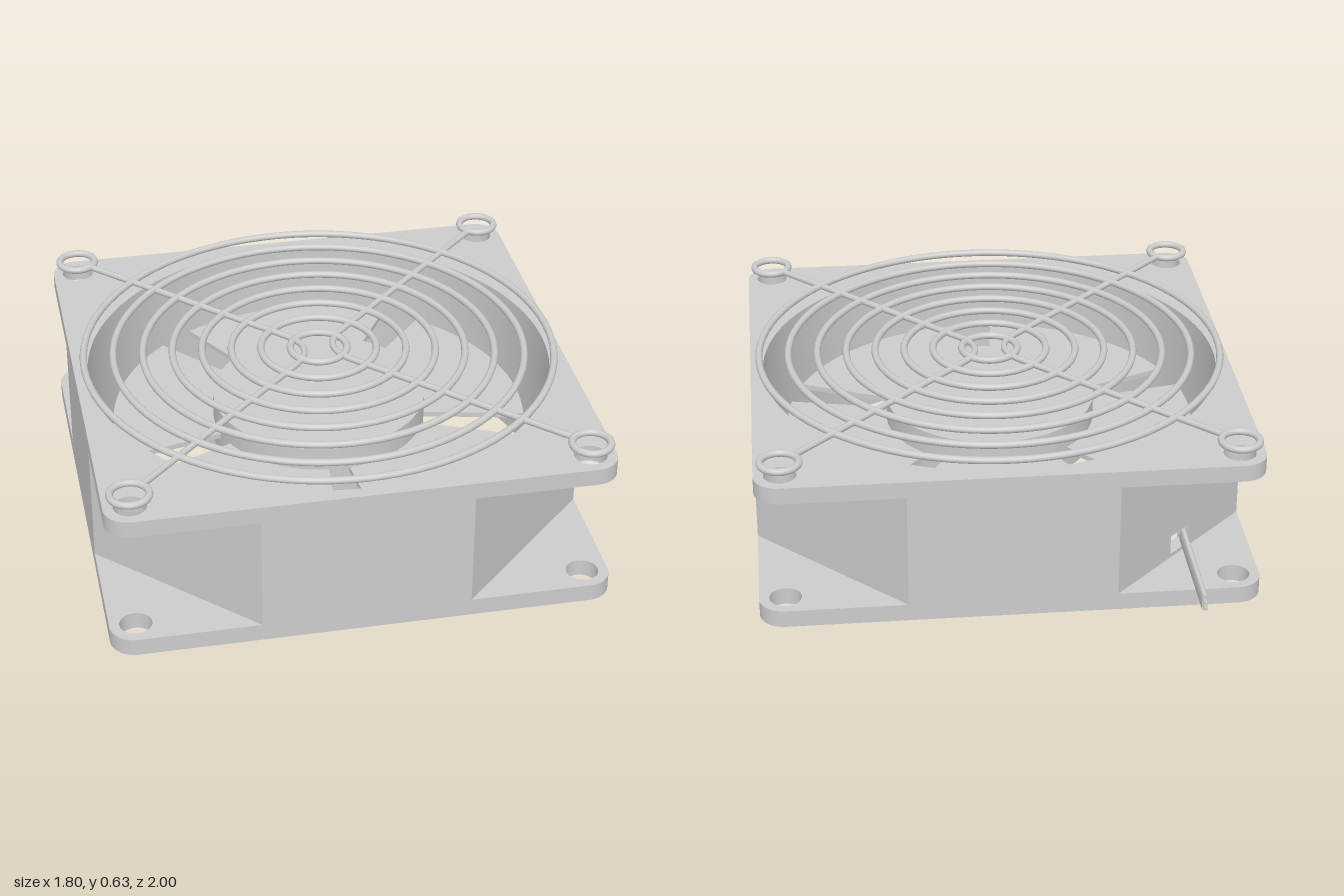
import * as THREE from 'three';
import { toCreasedNormals } from 'three/addons/utils/BufferGeometryUtils.js';

const CZ = 0.097, BORE = 0.855, HOLE = 0.808;
const TAU = Math.PI * 2;

export function createModel() {
  const root = new THREE.Group();
  const fan = new THREE.Group();
  fan.name = 'fan';
  fan.position.z = CZ;
  root.add(fan);
  const mat = new THREE.MeshStandardMaterial({ color: 0xcccccc });

  const add = (name, geo, x = 0, y = 0, z = 0, parent = fan) => {
    const mesh = new THREE.Mesh(geo, mat);
    mesh.name = name;
    mesh.position.set(x, y, z);
    parent.add(mesh);
    return mesh;
  };
  // Extrude a plan shape upwards from y0 to y1
  const slab = (name, shape, y0, y1, parent = fan, curveSegments = 48) => {
    const geo = new THREE.ExtrudeGeometry(shape, { depth: y1 - y0, bevelEnabled: false, curveSegments });
    geo.rotateX(-Math.PI / 2);
    return add(name, toCreasedNormals(geo, 0.5), 0, y0, 0, parent);
  };
  const circle = (x, y, r) => new THREE.Path().absarc(x, y, r, 0, TAU, true);
  const corners = [[1, 1], [-1, 1], [-1, -1], [1, -1]];

  // Square flanges with rounded corners and screw holes
  const flange = new THREE.Shape();
  corners.forEach(([sx, sy], i) =>
    flange.absarc(sx * 0.812, sy * 0.812, 0.09, i * Math.PI / 2, (i + 1) * Math.PI / 2, false));
  flange.closePath();
  flange.holes.push(circle(0, 0, BORE));
  corners.forEach(([sx, sy]) => flange.holes.push(circle(sx * HOLE, sy * HOLE, 0.058)));
  slab('lowerFlange', flange, 0, 0.065);
  slab('upperFlange', flange, 0.502, 0.565);

  // Duct between the flanges, with cut-off corners
  const A = 0.902, B = 0.375;
  const octagon = [[-A, B], [-A, -B], [-B, -A], [B, -A], [A, -B], [A, B], [B, A], [-B, A]];
  const duct = new THREE.Shape(octagon.map(([x, y]) => new THREE.Vector2(x, y)));
  duct.holes.push(circle(0, 0, BORE));
  slab('ductBase', duct, 0.065, 0.08);
  slab('duct', duct, 0.155, 0.502);

  // The same ring, open at one corner for the cable
  const m = (A + B) / 2, gap = TAU / 96, corner = Math.PI * 0.75;
  const openDuct = new THREE.Shape();
  openDuct.moveTo(-m - 0.04, m - 0.04);
  octagon.forEach(([x, y]) => openDuct.lineTo(x, y));
  openDuct.lineTo(-m + 0.04, m + 0.04);
  openDuct.absarc(0, 0, BORE, corner - gap, corner + gap - TAU, true);
  openDuct.closePath();
  slab('ductCableSlot', openDuct, 0.08, 0.155, fan, 47);

  // Motor housing and its diagonal struts, the cable strut being wider
  add('motorHousing', new THREE.CylinderGeometry(0.285, 0.285, 0.26, 64), 0, 0.13, 0);
  corners.forEach(([sx, sz]) => {
    const wide = sx < 0 && sz < 0;
    const geo = new THREE.BoxGeometry(0.6, 0.065, wide ? 0.085 : 0.045);
    add(wide ? 'cableStrut' : 'strut', geo, sx * 0.396, 0.0375, sz * 0.396).rotation.y = -sx * sz * Math.PI / 4;
  });

  // Rotor: hub and five flat wedge blades
  const rotor = new THREE.Group();
  rotor.name = 'rotor';
  fan.add(rotor);
  add('hub', new THREE.CylinderGeometry(0.395, 0.395, 0.18, 64), 0, 0.335, 0, rotor);
  const half = THREE.MathUtils.degToRad(30.5);
  const blade = new THREE.Shape();
  blade.absarc(0, 0, 0.77, -half, half, false);
  blade.absarc(0, 0, 0.385, half, -half, true);
  blade.closePath();
  for (let i = 0; i < 5; i++) {
    slab('blade', blade, 0.315, 0.335, rotor, 16).rotation.y = Math.PI / 2 + i * TAU / 5;
  }

  // Wire finger guard
  const guard = new THREE.Group();
  guard.name = 'fingerGuard';
  guard.position.y = 0.615;
  fan.add(guard);
  const ring = (name, r, x, z) => {
    const geo = new THREE.TorusGeometry(r, 0.0135, 10, r > 0.3 ? 96 : 48);
    geo.rotateX(Math.PI / 2);
    add(name, geo, x, 0, z, guard);
  };
  for (let i = 0; i < 8; i++) ring('guardRing', 0.105 + i * 0.109, 0, 0);
  corners.forEach(([sx, sz]) => ring('mountingLoop', 0.068, sx * HOLE, sz * HOLE));
  // Each spoke wire runs from corner to corner, bending near the middle
  for (const s of [1, -1]) {
    const v = (x, z) => new THREE.Vector3(s * x, 0, z);
    const e = HOLE - 0.048;
    const path = new THREE.CurvePath();
    path.add(new THREE.LineCurve3(v(e, -e), v(0.1, -0.1)));
    path.add(new THREE.QuadraticBezierCurve3(v(0.1, -0.1), v(0.01, 0), v(0.1, 0.1)));
    path.add(new THREE.LineCurve3(v(0.1, 0.1), v(e, e)));
    add('guardSpoke', new THREE.TubeGeometry(path, 100, 0.012, 10), 0, -0.002, 0, guard);
  }

  // Flat two-core cable leaving the duct backwards
  const sheath = new THREE.Shape();
  sheath.absarc(0, 0.0225, 0.01, 0, Math.PI, false);
  sheath.absarc(0, -0.0225, 0.01, Math.PI, TAU, false);
  sheath.closePath();
  const cable = new THREE.ExtrudeGeometry(sheath, { depth: 0.47, bevelEnabled: false, curveSegments: 8 });
  add('cable', toCreasedNormals(cable, 0.6), -0.655, 0.1175, -0.975, root);
  for (const y of [0.107, 0.128]) {
    const core = new THREE.CylinderGeometry(0.006, 0.006, 0.05, 12);
    core.rotateX(Math.PI / 2);
    add('cableCore', core, -0.655, y, -0.975, root);
  }
  return root;
}
